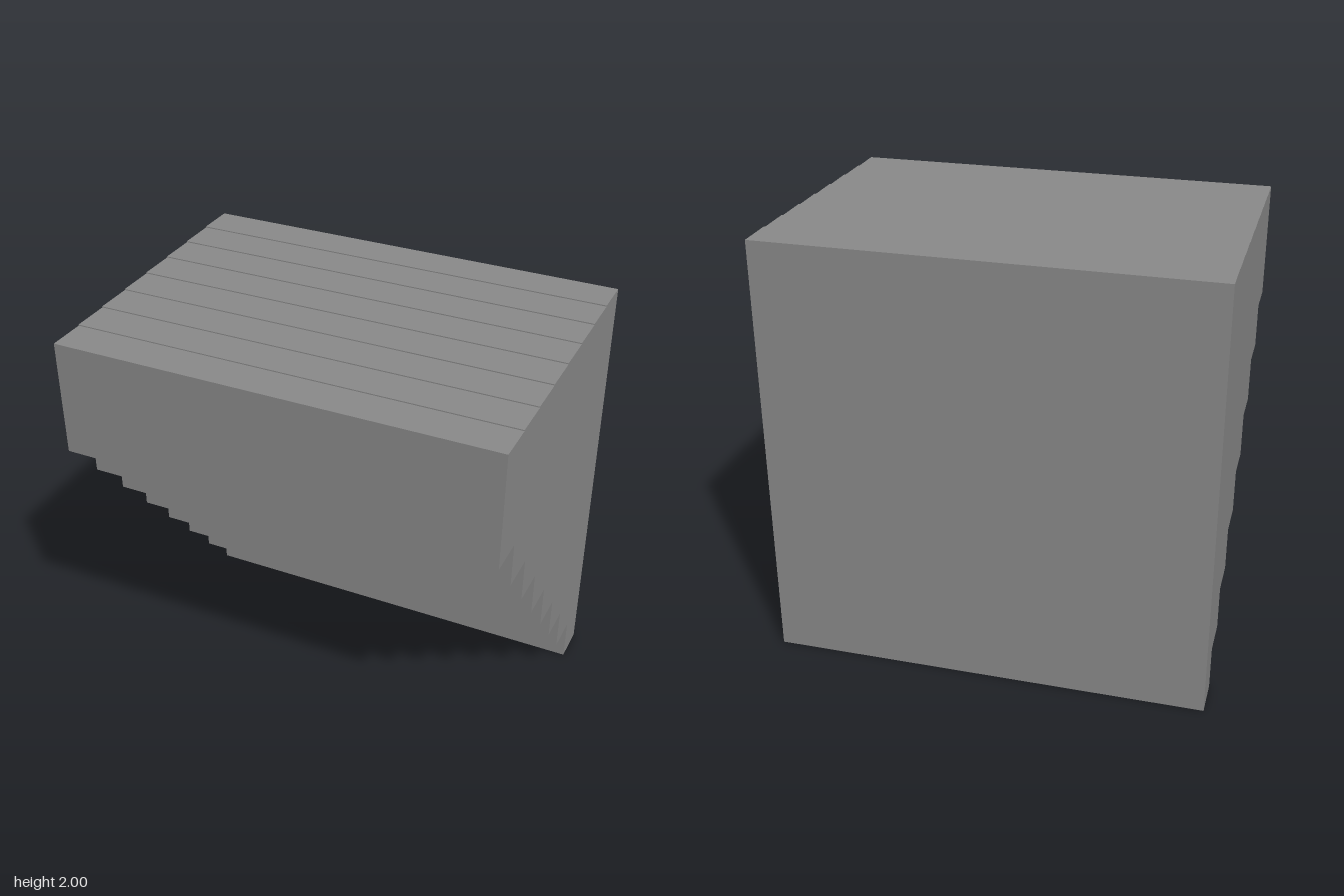
import * as THREE from 'three';

const STEPS = 8;
const WIDTH = 2;
const BACK = -0.72;
const RUN = 0.18;              // depth of each step
const SOFFIT_RISE = 1.436 / 7; // tall steps on the underside
const TOP_DROP = 0.034 / 7;    // slight steps on the top

export function createModel() {
  const group = new THREE.Group();
  const material = new THREE.MeshStandardMaterial({ color: 0x8b8b8b, flatShading: true });

  // Side profile: shape x is depth (z), shape y is height
  const profile = [];
  // stepped underside, from back to front
  for (let i = 0; i < STEPS; i++) {
    const z = BACK + i * RUN, y = i * SOFFIT_RISE;
    profile.push(new THREE.Vector2(z, y), new THREE.Vector2(z + RUN, y));
  }
  // gently stepped top, from front to back
  for (let i = STEPS - 1; i >= 0; i--) {
    const z = BACK + i * RUN, y = 2 - i * TOP_DROP;
    profile.push(new THREE.Vector2(z + RUN, y), new THREE.Vector2(z, y));
  }

  // Extrude across the width and turn the profile to face +z
  const geometry = new THREE.ExtrudeGeometry(new THREE.Shape(profile), {
    depth: WIDTH, bevelEnabled: false, steps: 1,
  });
  geometry.translate(0, 0, -WIDTH / 2);
  geometry.rotateY(-Math.PI / 2);

  const block = new THREE.Mesh(geometry, material);
  block.name = 'steppedCorbel';
  group.add(block);
  return group;
}
